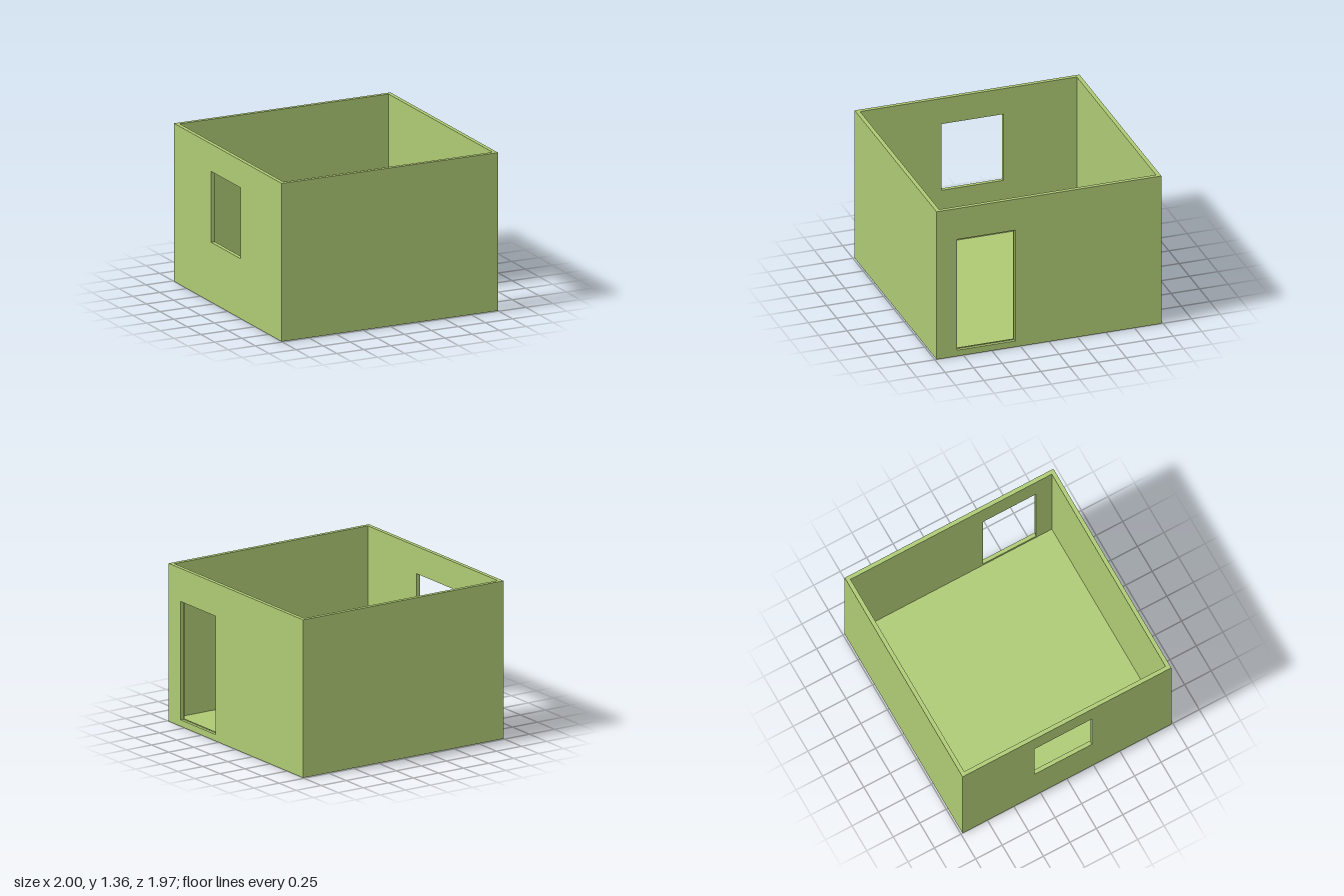
import * as THREE from 'three';

const W = 2, D = 1.97, H = 1.36;   // outer size
const T = 0.035, FLOOR = 0.033;    // wall and floor thickness

const green = new THREE.MeshStandardMaterial({ color: 0xaec974 });
green.name = 'wall green';

function rect(target, x0, y0, x1, y1) {
  target.moveTo(x0, y0);
  target.lineTo(x1, y0);
  target.lineTo(x1, y1);
  target.lineTo(x0, y1);
  target.closePath();
  return target;
}

// Side wall spanning the full depth, with one opening given in z and y
function sideWall(name, x, z0, z1, y0, y1) {
  const shape = rect(new THREE.Shape(), -D / 2, 0, D / 2, H);
  shape.holes.push(rect(new THREE.Path(), -z1, y0, -z0, y1));
  const geo = new THREE.ExtrudeGeometry(shape, { depth: T, bevelEnabled: false });
  geo.rotateY(Math.PI / 2);        // shape x becomes -z, depth becomes +x
  geo.translate(x, 0, 0);
  const mesh = new THREE.Mesh(geo, green);
  mesh.name = name;
  return mesh;
}

function box(name, w, h, d, x, y, z) {
  const mesh = new THREE.Mesh(new THREE.BoxGeometry(w, h, d), green);
  mesh.name = name;
  mesh.position.set(x, y, z);
  return mesh;
}

export function createModel() {
  const room = new THREE.Group();
  room.name = 'room';

  // Floor slab between the walls
  room.add(box('floor', W - 2 * T, FLOOR, D - 2 * T, 0, FLOOR / 2, 0));

  // Closed front and back walls
  for (const s of [1, -1]) {
    room.add(box(s > 0 ? 'frontWall' : 'backWall', W - 2 * T, H, T, 0, H / 2, s * (D - T) / 2));
  }

  // Door wall and window wall
  const door = { z0: 0.295, z1: 0.808, y0: 0.055, y1: 1.075 };
  room.add(sideWall('doorWall', W / 2 - T, door.z0, door.z1, door.y0, door.y1));
  room.add(sideWall('windowWall', -W / 2, -0.305, 0.235, 0.515, 1.125));

  // Shallow lip on the inner edge of the doorway
  const lip = 0.007, lipDepth = 0.008, lipX = W / 2 - T + lipDepth / 2;
  const doorH = door.y1 - door.y0, midY = (door.y0 + door.y1) / 2;
  room.add(box('doorSillLip', lipDepth, lip, door.z1 - door.z0, lipX, door.y0 + lip / 2, (door.z0 + door.z1) / 2));
  room.add(box('doorJambLipFront', lipDepth, doorH, lip, lipX, midY, door.z1 - lip / 2));
  room.add(box('doorJambLipBack', lipDepth, doorH, lip, lipX, midY, door.z0 + lip / 2));

  return room;
}
